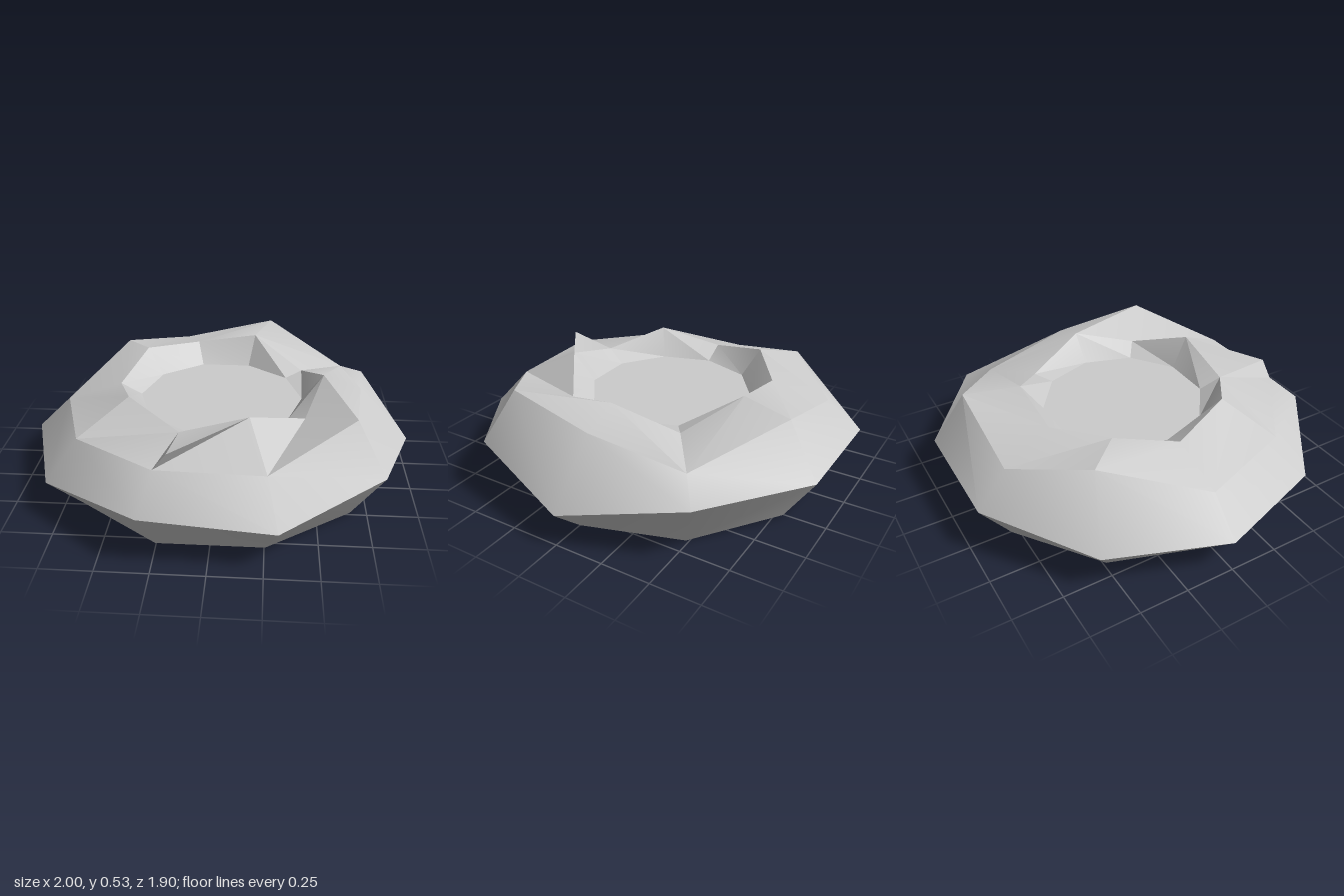
import * as THREE from 'three';
import { toCreasedNormals } from 'three/addons/utils/BufferGeometryUtils.js';

const SIDES = 10;

// Ring of ten points; heights may be one number or one per corner
function ring(radius, heights, moved = {}) {
  return Array.from({ length: SIDES }, (_, k) => {
    const a = (k / SIDES) * Math.PI * 2;
    const y = Array.isArray(heights) ? heights[k] : heights;
    return moved[k] || [radius * Math.cos(a), y, radius * Math.sin(a)];
  });
}

// Triangles between two rings; rising(k) chooses the diagonal
function band(lower, upper, rising) {
  const tris = [];
  for (let k = 0; k < SIDES; k++) {
    const n = (k + 1) % SIDES;
    const [a, b, c, d] = [lower[k], lower[n], upper[k], upper[n]];
    if (rising(k)) tris.push([b, a, d], [a, c, d]);
    else tris.push([b, a, c], [b, c, d]);
  }
  return tris;
}

// Flat cap over a ring
function cap(points, up) {
  const centre = [0, points[0][1], 0];
  return points.map((p, k) => {
    const q = points[(k + 1) % SIDES];
    return up ? [centre, q, p] : [centre, p, q];
  });
}

export function createModel() {
  const group = new THREE.Group();
  group.name = 'rockyBasin';
  const material = new THREE.MeshStandardMaterial({ color: 0xcccccc, side: THREE.DoubleSide });

  function add(name, tris, crease) {
    let geo = new THREE.BufferGeometry();
    geo.setAttribute('position', new THREE.Float32BufferAttribute(tris.flat(2), 3));
    geo = toCreasedNormals(geo, crease);
    const mesh = new THREE.Mesh(geo, material);
    mesh.name = name;
    group.add(mesh);
  }

  // Uneven stone rings from the ground up and inwards
  const base = ring(0.825, 0);
  const waist = ring(1, [0.16, 0.27, 0.2, 0.25, 0.18, 0.17, 0.2, 0.25, 0.26, 0.28]);
  const shoulder = ring(0.825, [0.45, 0.52, 0.39, 0.4, 0.37, 0.34, 0.49, 0.4, 0.52, 0.36], {
    0: [0.73, 0.45, 0],
    6: [-0.57, 0.49, -0.48],
  });
  const rim = ring(0.535, [0.52, 0.43, 0.53, 0.44, 0.52, 0.44, 0.515, 0.48, 0.53, 0.4]);
  const floor = ring(0.427, 0.38);

  // Outer flanks
  add('outerWall', [
    ...band(base, waist, () => false),
    ...band(waist, shoulder, () => true),
  ], 0.75);

  // Top of the ring, with one raised splinter at the front
  const top = band(shoulder, rim, (k) => k === 9);
  const tip = [-0.19, 0.48, 0.78];
  top.splice(2 * 2 + 1, 1,
    [tip, rim[2], rim[3]],
    [shoulder[3], rim[2], tip],
    [shoulder[3], tip, rim[3]]);
  add('topRidge', top, 0.5);

  // Shallow basin
  add('innerWall', band(rim, floor, () => true), 0.4);
  add('basinFloor', cap(floor, true), 0.1);
  add('underside', cap(base, false), 0.1);
  return group;
}
